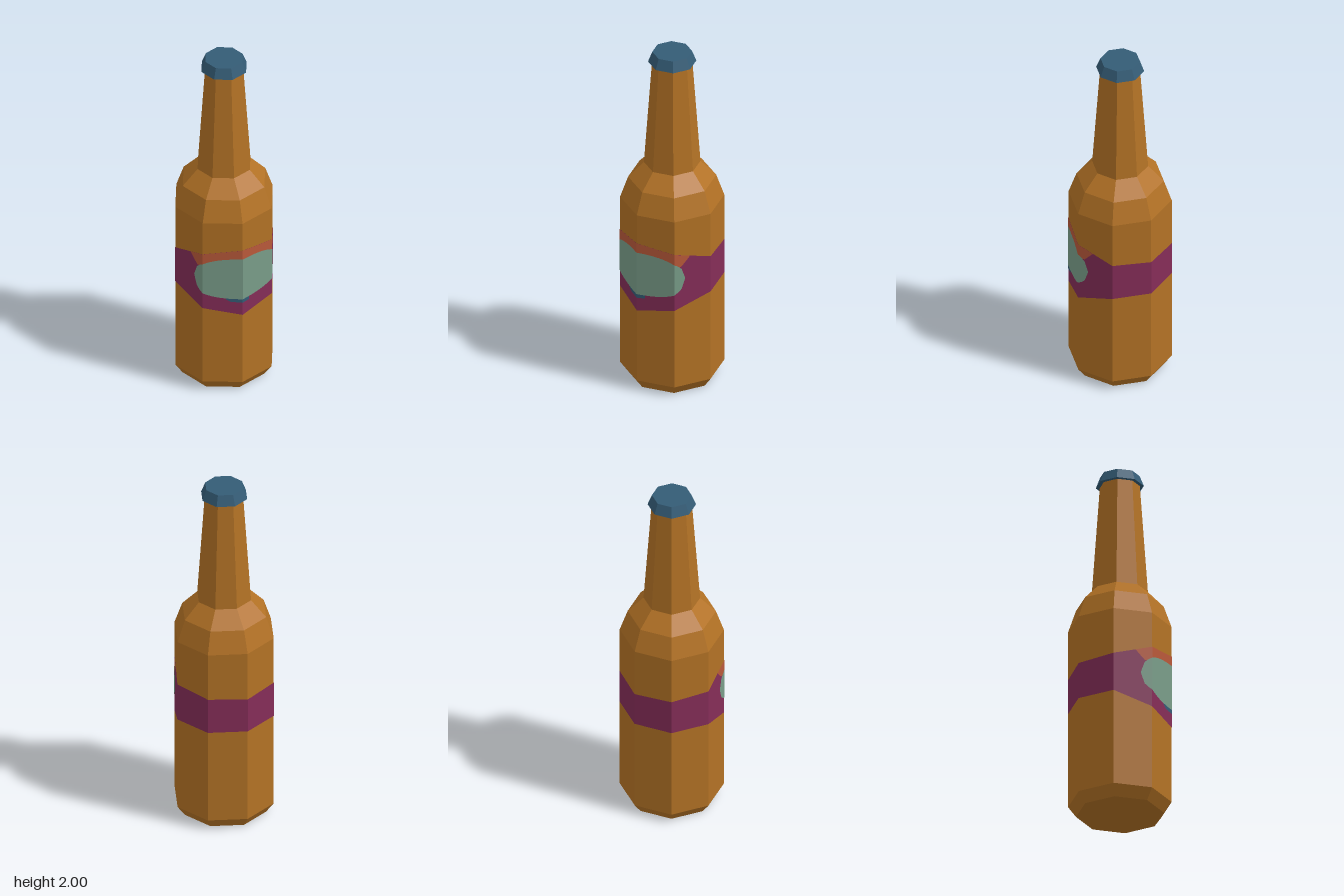
import * as THREE from 'three';

const SIDES = 8;
const RADIUS = 0.28;

function material(name, color, side = THREE.FrontSide) {
  const m = new THREE.MeshStandardMaterial({ color, side });
  m.name = name;
  return m;
}

// Faceted geometry: every face gets its own normal
function faceted(geometry) {
  const g = geometry.index ? geometry.toNonIndexed() : geometry;
  g.computeVertexNormals();
  return g;
}

// Eight-sided turned shape with corners on the x and z axes
function turned(name, profile, mat) {
  const points = profile.map(([r, y]) => new THREE.Vector2(r, y));
  const mesh = new THREE.Mesh(faceted(new THREE.LatheGeometry(points, SIDES)), mat);
  mesh.name = name;
  return mesh;
}

// Point on the octagonal wall; t counts corners from the front towards +x
function wallPoint(t, y, lift) {
  const i = Math.floor(t), f = t - i, step = (Math.PI * 2) / SIDES;
  const a = i * step, b = a + step, r = RADIUS + lift;
  return [
    r * THREE.MathUtils.lerp(Math.sin(a), Math.sin(b), f), y,
    r * THREE.MathUtils.lerp(Math.cos(a), Math.cos(b), f),
  ];
}

// Thin printed patch following the wall between two height curves
function patch(name, stations, low, high, lift, mat) {
  const pos = [];
  for (let i = 0; i < stations.length - 1; i++) {
    const [t, u] = [stations[i], stations[i + 1]];
    const a = wallPoint(t, low(t), lift), b = wallPoint(u, low(u), lift);
    const c = wallPoint(u, high(u), lift), d = wallPoint(t, high(t), lift);
    pos.push(...a, ...b, ...c, ...a, ...c, ...d);
  }
  const g = new THREE.BufferGeometry();
  g.setAttribute('position', new THREE.Float32BufferAttribute(pos, 3));
  const mesh = new THREE.Mesh(faceted(g), mat);
  mesh.name = name;
  return mesh;
}

// Piecewise linear curve of |t|, mirrored left and right
function curve(pairs) {
  return (t) => {
    const s = Math.abs(t);
    let i = 0;
    while (i < pairs.length - 2 && s > pairs[i + 1][0]) i++;
    const [[t0, y0], [t1, y1]] = [pairs[i], pairs[i + 1]];
    return THREE.MathUtils.mapLinear(s, t0, t1, y0, y1);
  };
}

export function createModel() {
  const glass = material('amber glass', 0xb37225);
  const blue = material('cap blue', 0x345c76);
  const plum = material('label plum', 0x852d58);
  const red = material('label red', 0xb9593a);
  const green = material('label green', 0x799d89);

  const group = new THREE.Group();
  group.name = 'bottle';

  // Glass body, shoulder and neck
  group.add(turned('glassBody', [
    [0, 0], [0.237, 0], [RADIUS, 0.06], [RADIUS, 1.095], [0.237, 1.22],
    [0.152, 1.31], [0.108, 1.945], [0, 1.945],
  ], glass));

  // Crown cap
  group.add(turned('cap', [[0, 1.94], [0.13, 1.94], [0.107, 2], [0, 2]], blue));

  // Wrap-around label band, taller at the front
  const bandLow = curve([[0, 0.5], [1, 0.54], [2, 0.61], [4, 0.61]]);
  const bandHigh = curve([[0, 0.92], [1, 0.892], [2, 0.83], [3, 0.818], [4, 0.81]]);
  group.add(patch('labelBand', [-4, -3, -2, -1, 0, 1, 2, 3, 4], bandLow, bandHigh, 0.001, plum));

  // Red upper edge of the front label
  const redLow = curve([[0, 0.8], [1, 0.8], [1.2, 0.81], [1.42, 0.862]]);
  group.add(patch('labelTop', [-1.42, -1.2, -1, 0, 1, 1.2, 1.42], redLow, bandHigh, 0.002, red));

  // Small blue mark below the oval
  const markLow = curve([[0, 0.58], [0.3, 0.585], [0.42, 0.6]]);
  group.add(patch('labelMark', [-0.42, -0.3, 0, 0.22], markLow, () => 0.64, 0.002, blue));

  // Green oval on the front
  const stations = [];
  for (let i = -13; i <= 13; i++) stations.push(i / 10);
  const half = (t) => 0.13 * Math.pow(Math.max(0, 1 - Math.pow(Math.abs(t) / 1.3, 2.4)), 1 / 2.4);
  group.add(patch('labelOval', stations, (t) => 0.733 - half(t), (t) => 0.733 + half(t), 0.003, green));

  return group;
}
